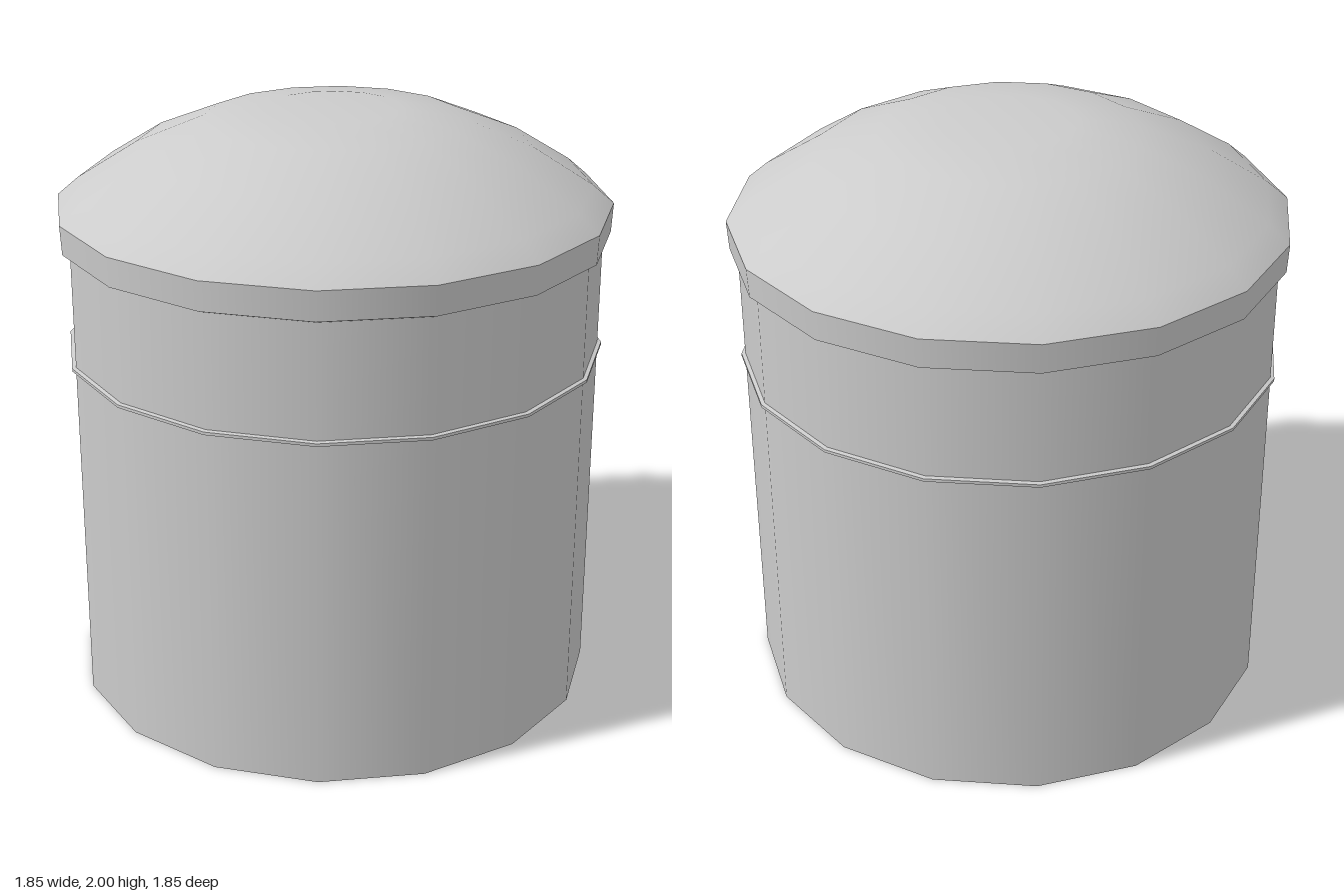
import * as THREE from 'three';

const SIDES = 16;

export function createModel() {
  const group = new THREE.Group();
  const material = new THREE.MeshStandardMaterial({ color: 0xcccccc });

  // Each profile runs bottom to top; smooth around, with hard edges between separate profiles.
  function turned(name, ...profiles) {
    const part = new THREE.Group();
    part.name = name;
    for (const profile of profiles) {
      const points = profile.map(([r, y]) => new THREE.Vector2(r, y));
      const mesh = new THREE.Mesh(new THREE.LatheGeometry(points, SIDES), material);
      mesh.name = name;
      part.add(mesh);
    }
    group.add(part);
  }

  // Canister wall and flat base
  turned('body', [[0, 0], [0.895, 0]], [[0.895, 0], [0.895, 1.6]]);

  // Thin raised band around the wall
  turned('band',
    [[0.895, 1.187], [0.908, 1.19]],
    [[0.908, 1.19], [0.908, 1.2]],
    [[0.908, 1.2], [0.895, 1.203]]);

  // Lid rim with a chamfered underside
  turned('lidRim',
    [[0.89, 1.58], [0.92, 1.592]],
    [[0.92, 1.592], [0.925, 1.69]]);

  // Shallow domed lid
  turned('lidDome', [
    [0.925, 1.69], [0.855, 1.75], [0.655, 1.875], [0.43, 1.967], [0.22, 2], [0, 2],
  ]);

  return group;
}
